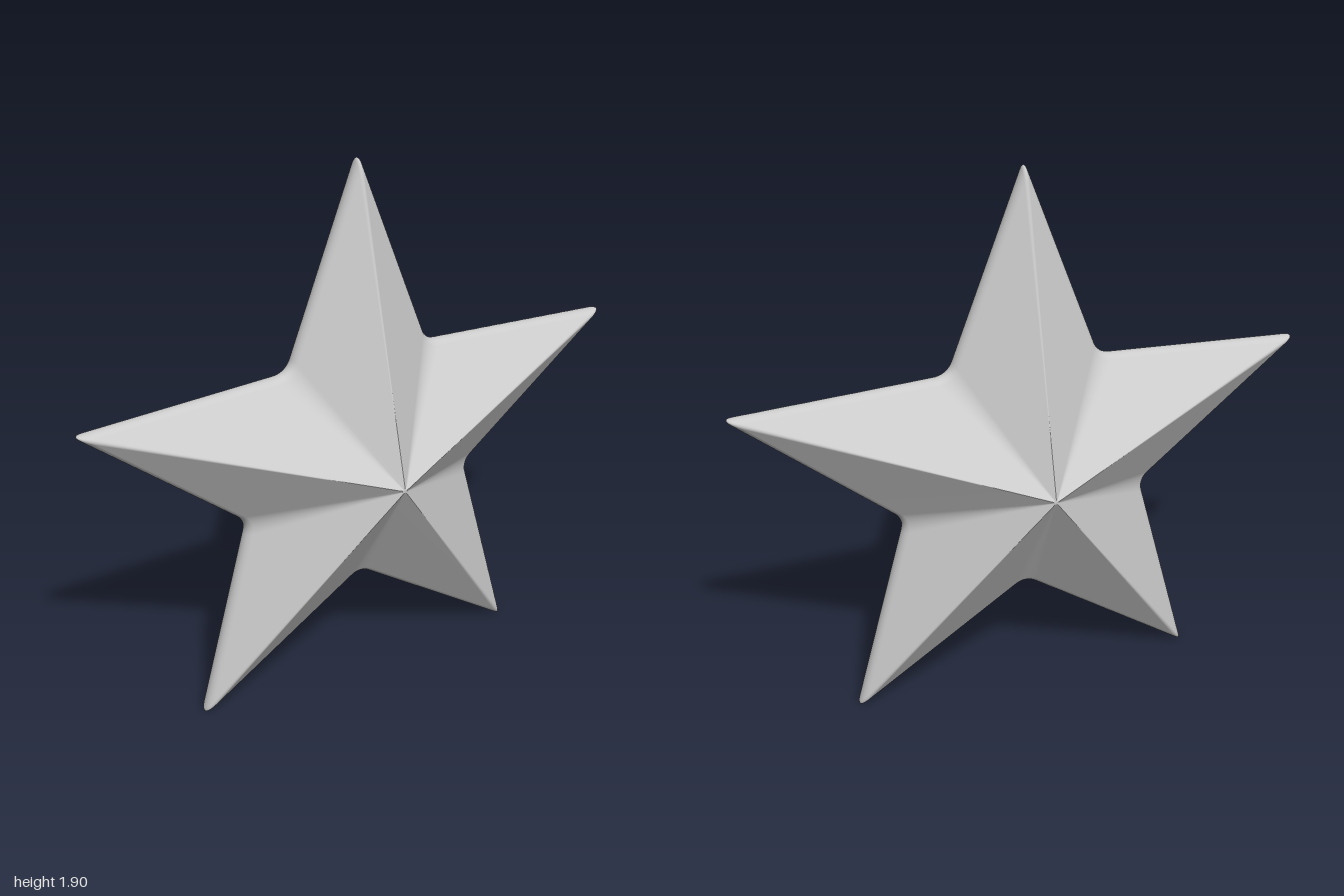
import * as THREE from 'three';

const CENTER_Y = 0.853;
const TIP = 1.063, VALLEY = 0.452;   // sharp corner radii before rounding
const RIM = 0.04;                    // radius of the rounded rim
const HALF_DEPTH = 0.311;

// Five-pointed outline, counter-clockwise, with softened tips and valleys
function starOutline() {
  const corners = [];
  for (let i = 0; i < 10; i++) {
    const a = Math.PI / 2 + i * Math.PI / 5;
    const r = i % 2 ? VALLEY : TIP;
    corners.push(new THREE.Vector2(r * Math.cos(a), r * Math.sin(a)));
  }
  const points = [];
  corners.forEach((c, i) => {
    const cut = i % 2 ? 0.05 : 0.025;
    const toward = (q) => c.clone().add(q.clone().sub(c).setLength(cut));
    const curve = new THREE.QuadraticBezierCurve(
      toward(corners[(i + 9) % 10]), c, toward(corners[(i + 1) % 10]));
    points.push(...curve.getPoints(8));
  });
  return points;
}

// Outline scale and depth of each ring, from front apex to back apex
function ringProfile() {
  const edge = new THREE.Vector2(VALLEY * Math.sin(Math.PI / 5), VALLEY * Math.cos(Math.PI / 5));
  const inradius = TIP * Math.sin(Math.atan2(edge.x, TIP - edge.y));
  const rings = [[0.02, HALF_DEPTH - 0.004]];
  const steps = 12, span = THREE.MathUtils.degToRad(54);
  for (let k = 0; k <= steps; k++) {
    const a = span * (1 - 2 * k / steps);
    rings.push([1 - RIM * (1 - Math.cos(a)) / inradius, RIM * Math.sin(a)]);
  }
  rings.push([0.02, -HALF_DEPTH + 0.004]);
  return rings;
}

function starGeometry() {
  const outline = starOutline(), rings = ringProfile();
  const n = outline.length, positions = [], index = [];
  for (const [s, z] of rings)
    for (const p of outline) positions.push(p.x * s, p.y * s, z);
  const front = rings.length * n, back = front + 1;
  positions.push(0, 0, HALF_DEPTH, 0, 0, -HALF_DEPTH);

  const last = (rings.length - 1) * n;
  for (let j = 0; j < n; j++) {
    const k = (j + 1) % n;
    index.push(front, j, k, back, last + k, last + j);
    for (let i = 0; i < last; i += n)
      index.push(i + j, i + n + j, i + n + k, i + j, i + n + k, i + k);
  }
  const geometry = new THREE.BufferGeometry();
  geometry.setAttribute('position', new THREE.Float32BufferAttribute(positions, 3));
  geometry.setIndex(index);
  geometry.computeVertexNormals();
  return geometry;
}

export function createModel() {
  const group = new THREE.Group();
  group.name = 'star';
  const body = new THREE.Mesh(starGeometry(), new THREE.MeshStandardMaterial({ color: 0xcccccc }));
  body.name = 'starBody';
  body.position.y = CENTER_Y;
  group.add(body);
  return group;
}
